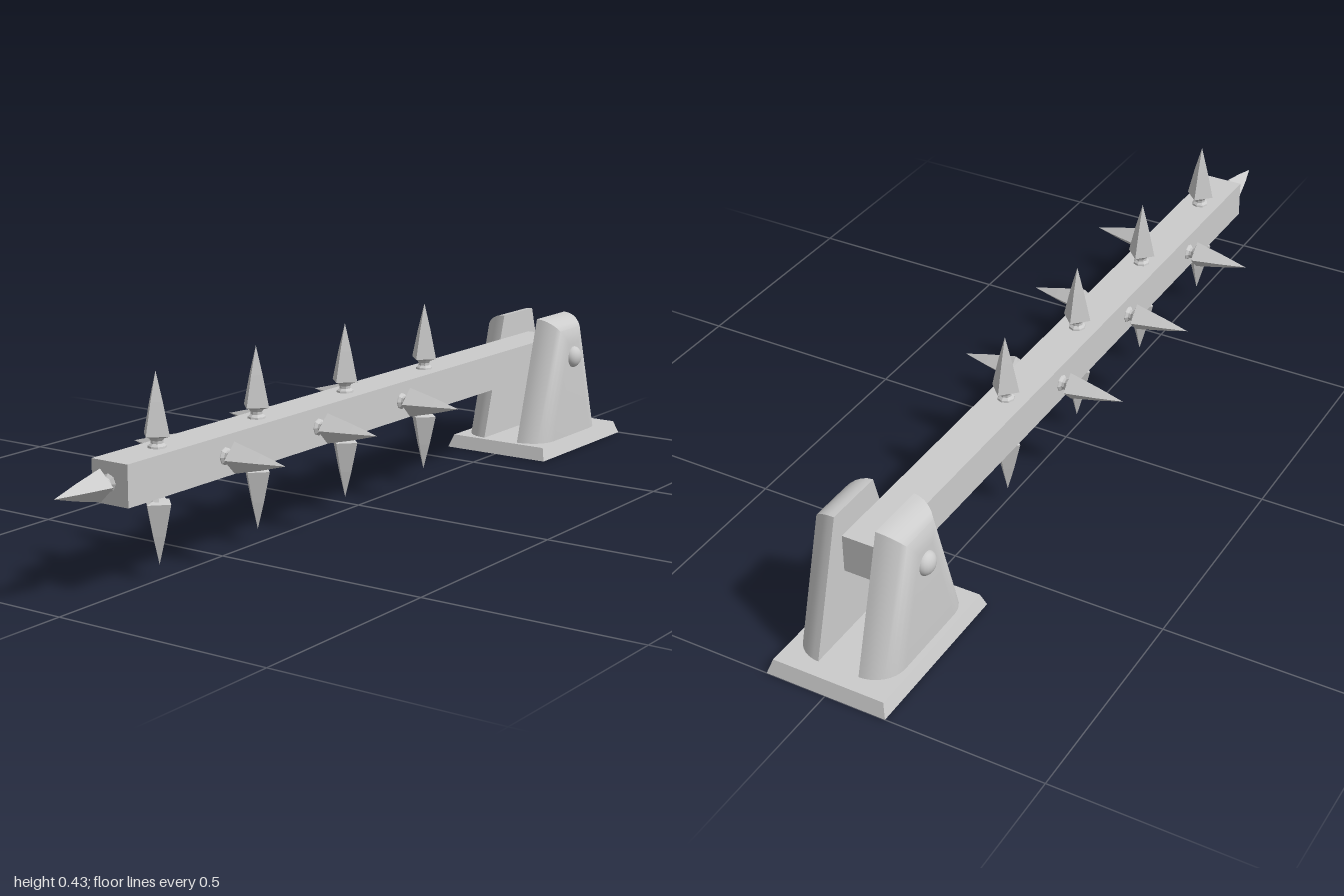
import * as THREE from 'three';
import { toCreasedNormals, mergeGeometries } from 'three/addons/utils/BufferGeometryUtils.js';

const smooth = new THREE.MeshStandardMaterial({ color: 0xcccccc });
const flat = new THREE.MeshStandardMaterial({ color: 0xcccccc, flatShading: true });

const PIVOT_Z = -0.79;
const BEAM_Y = 0.232;
const BEAM_HALF = 0.045;

function addMesh(parent, name, geometry, material, x = 0, y = 0, z = 0) {
  const mesh = new THREE.Mesh(geometry, material);
  mesh.name = name;
  mesh.position.set(x, y, z);
  parent.add(mesh);
  return mesh;
}

const lathe = (profile, sides) =>
  new THREE.LatheGeometry(profile.map(([r, y]) => new THREE.Vector2(r, y)), sides);

// Base plate with sloping sides
function plateGeometry() {
  const geo = new THREE.BoxGeometry(0.282, 0.031, 0.395);
  const p = geo.attributes.position;
  for (let i = 0; i < p.count; i++) {
    if (p.getY(i) > 0) {
      p.setX(i, p.getX(i) - Math.sign(p.getX(i)) * 0.01);
      p.setZ(i, p.getZ(i) - Math.sign(p.getZ(i)) * 0.012);
    }
  }
  geo.computeVertexNormals();
  return geo;
}

// Tapered pillar: flat inner face at x = 0, shrinking in a quarter round outwards
function pillarGeometry() {
  const depth = 0.069, inset = 0.065, steps = 8;
  const height = 0.305, bottomHalf = 0.16, slope = 0.295;
  const pos = [], index = [];
  for (let i = 0; i <= steps; i++) {
    const a = (i / steps) * Math.PI / 2;
    const s = inset * (1 - Math.cos(a)), x = depth * Math.sin(a);
    const low = bottomHalf - s, top = height - s;
    const high = bottomHalf - slope * top - s;
    pos.push(x, 0, low, x, top, high, x, top, -high, x, 0, -low);
  }
  for (let i = 0; i < steps; i++) {
    for (let j = 0; j < 4; j++) {
      const p = i * 4 + j, q = i * 4 + (j + 1) % 4;
      index.push(p, p + 4, q + 4, p, q + 4, q);
    }
  }
  const o = steps * 4;
  index.push(0, 1, 2, 0, 2, 3, o, o + 3, o + 2, o, o + 2, o + 1);
  const geo = new THREE.BufferGeometry();
  geo.setAttribute('position', new THREE.Float32BufferAttribute(pos, 3));
  geo.setIndex(index);
  return toCreasedNormals(geo, 0.8);
}

// Four-sided spike on a waisted round neck, growing along +y
function spikeGeometry() {
  const neck = lathe([[0.02, -0.002], [0.019, 0.003], [0.013, 0.008], [0.013, 0.014], [0.018, 0.021]], 8);
  const head = lathe([[0, 0.02], [0.018, 0.02], [0.034, 0.025], [0.0175, 0.094], [0, 0.156]], 4);
  return mergeGeometries([neck, head]);
}

export function createModel() {
  const model = new THREE.Group();
  model.name = 'spikedBeamTrap';

  addMesh(model, 'basePlate', plateGeometry(), flat, 0, 0.0155, -0.8025);

  // Pillars and pivot caps, one on each side
  const pillar = pillarGeometry();
  const cap = new THREE.SphereGeometry(0.027, 20, 14);
  for (const side of [1, -1]) {
    const name = side > 0 ? 'left' : 'right';
    const mesh = addMesh(model, name + 'Pillar', pillar, smooth, side * 0.048, 0.03, PIVOT_Z);
    if (side < 0) mesh.rotation.y = Math.PI;
    addMesh(model, name + 'PivotCap', cap, smooth, side * 0.115, 0.235, PIVOT_Z).scale.x = 0.75;
  }

  // Square swinging beam
  addMesh(model, 'beam', new THREE.BoxGeometry(0.093, 0.088, 1.687), flat, 0, BEAM_Y, 0.0025);

  // Spikes: vertical and sideways pairs alternate, one more on the tip
  const spike = spikeGeometry();
  const up = new THREE.Vector3(0, 1, 0);
  function addSpike(name, dx, dy, dz, x, y, z) {
    const mesh = addMesh(model, name, spike, flat, x, y, z);
    mesh.quaternion.setFromUnitVectors(up, new THREE.Vector3(dx, dy, dz));
  }
  for (let i = 0; i < 4; i++) {
    const z = 0.703 - i * 0.325;
    for (const s of [1, -1]) {
      addSpike(s > 0 ? 'topSpike' : 'bottomSpike', 0, s, 0, 0, BEAM_Y + s * BEAM_HALF, z);
      if (i < 3) addSpike(s > 0 ? 'leftSpike' : 'rightSpike', s, 0, 0, s * BEAM_HALF, BEAM_Y, z - 0.16);
    }
  }
  addSpike('tipSpike', 0, 0, 1, -0.004, BEAM_Y, 0.844);

  return model;
}
